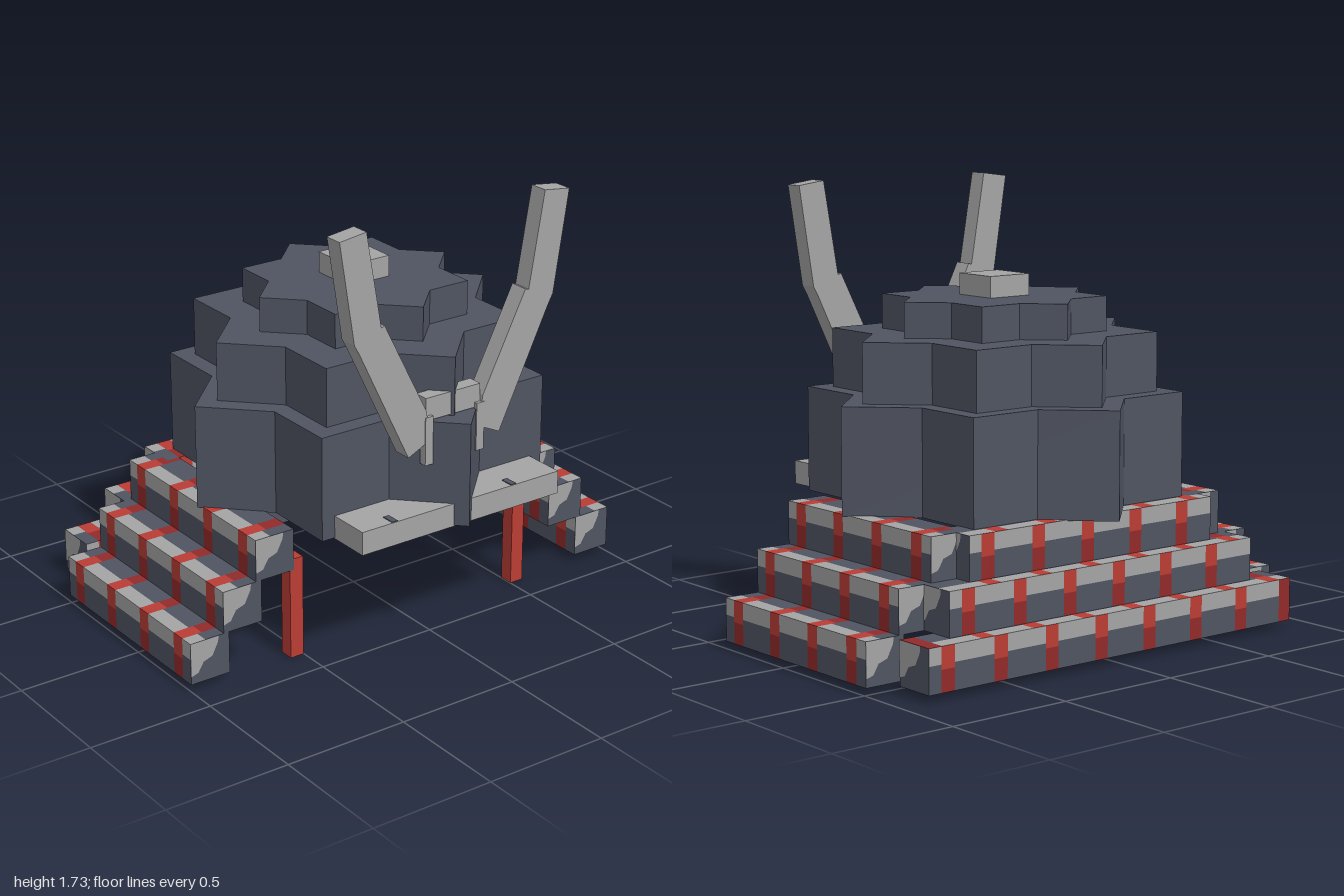
import * as THREE from 'three';
import { mergeGeometries } from 'three/addons/utils/BufferGeometryUtils.js';

export function createModel() {
  const std = (name, color) => Object.assign(new THREE.MeshStandardMaterial({ color }), { name });
  const slate = std('slate', 0x4f5461), grey = std('grey', 0xa4a4a4);
  const red = std('red', 0xba3d35), darkRed = std('darkRed', 0x922a2a);
  const model = new THREE.Group();

  const box = (name, mat, w, h, d, x, y, z, parent = model) => {
    const m = new THREE.Mesh(new THREE.BoxGeometry(w, h, d), mat);
    m.name = name;
    m.position.set(x, y, z);
    parent.add(m);
    return m;
  };

  // Stepped dome: every tier is two crossed square blocks
  const tiers = [[0.513, 0.53, 0.94], [0.443, 0.94, 1.17], [0.306, 1.17, 1.305]];
  tiers.forEach(([r, y0, y1], i) => {
    const tier = new THREE.Group();
    tier.name = 'domeTier' + (i + 1);
    for (const a of [0, Math.PI / 4])
      box('tierBlock', slate, 2 * r, y1 - y0, 2 * r, 0, (y0 + y1) / 2, 0.005, tier).rotation.y = a;
    model.add(tier);
  });
  box('topKnob', grey, 0.19, 0.085, 0.19, 0, 1.345, 0.002);
  box('visor', grey, 0.915, 0.092, 0.49, 0, 0.572, 0.445);
  for (const x of [-0.31, 0.243])
    box('visorMark', slate, 0.025, 0.004, 0.055, x, 0.619, 0.66);

  // Crest: two bent horns joined by a bracket
  box('crestBracket', grey, 0.25, 0.09, 0.06, 0, 0.99, 0.592);
  const hornPoints = [[0.21, 0.825], [0.11, 0.872], [0.13, 0.99], [0.32, 1.365], [0.335, 1.36],
    [0.4, 1.73], [0.515, 1.715], [0.452, 1.32], [0.43, 1.28]];
  for (const s of [1, -1]) {
    const shape = new THREE.Shape(hornPoints.map(([x, y]) => new THREE.Vector2(s * x, y)));
    const horn = new THREE.Mesh(
      new THREE.ExtrudeGeometry(shape, { depth: 0.076, bevelEnabled: false }), grey);
    horn.name = s > 0 ? 'leftHorn' : 'rightHorn';
    horn.position.z = 0.557;
    model.add(horn);
    box('hornTab', grey, 0.035, 0.19, 0.032, s * 0.118, 0.87, 0.62);
    // Hanging cords
    box('cord', red, 0.058, 0.41, 0.058, s * 0.53, 0.205, 0.345);
  }

  // Laced bar along local x, outer side facing local -z
  const T = 0.168, EDGE = 0.065, STRIP = 0.06, STEP = 0.238;
  function lacedBar(name, L) {
    const parts = new Map([slate, grey, red, darkRed].map(mat => [mat, []]));
    const h = T / 2;
    const tile = (mat, u0, u1, v0, v1, place) => {
      const g = new THREE.PlaneGeometry(u1 - u0, v1 - v0);
      g.translate((u0 + u1) / 2, (v0 + v1) / 2, h);
      parts.get(mat).push(place(g));
    };
    // Every long face has a grey band on its upper edge and red lacing across
    const face = place => {
      const plain = (a, b) => {
        if (b - a < 0.001) return;
        tile(slate, a, b, -h, h - EDGE, place);
        tile(grey, a, b, h - EDGE, h, place);
      };
      let u = -L / 2;
      for (let s = -L / 2 + 0.055; s < L / 2 - 0.02; s += STEP) {
        const e = Math.min(s + STRIP, L / 2);
        plain(u, s);
        // Lacing is bright over the upper half; a strip at the very end is all dark
        const atEnd = e > L / 2 - 0.01;
        tile(darkRed, s, e, -h, 0, place);
        tile(atEnd ? darkRed : red, s, e, 0, h, place);
        u = e;
      }
      plain(u, L / 2);
    };
    face(g => g);
    face(g => g.rotateY(Math.PI));
    face(g => g.rotateX(-Math.PI / 2));
    face(g => g.rotateX(Math.PI / 2));
    // End faces with a ragged grey corner
    const rag = [[0, 1], [0, 0.2], [0.18, 0.25], [0.32, 0.48], [0.55, 0.56], [0.7, 0.85], [0.72, 1]];
    for (const s of [1, -1]) {
      const turn = d => g => g.translate(0, 0, L / 2 - h + d).rotateY(s * Math.PI / 2);
      tile(slate, -h, h, -h, h, turn(0));
      const patch = new THREE.ShapeGeometry(new THREE.Shape(
        rag.map(([u, v]) => new THREE.Vector2((u - 0.5) * T, (v - 0.5) * T))));
      parts.get(grey).push(turn(0.002)(patch.translate(0, 0, h)));
    }
    const bar = new THREE.Group();
    bar.name = name;
    for (const [mat, geos] of parts) {
      const m = new THREE.Mesh(mergeGeometries(geos), mat);
      m.name = mat.name + 'Lacing';
      bar.add(m);
    }
    model.add(bar);
    return bar;
  }

  // Neck guard: three stepped rows at the back and on both sides
  for (let i = 0; i < 3; i++) {
    const y = 0.113 + i * 0.168;
    lacedBar('backGuardRow', 1.78 - i * 0.295).position.set(0, y, -0.645 + i * 0.072);
    for (const s of [1, -1]) {
      const side = lacedBar(s > 0 ? 'leftGuardRow' : 'rightGuardRow', 0.885);
      side.position.set(s * (0.916 - i * 0.145), y, -0.068);
      side.rotation.y = -s * Math.PI / 2;
    }
  }
  return model;
}
